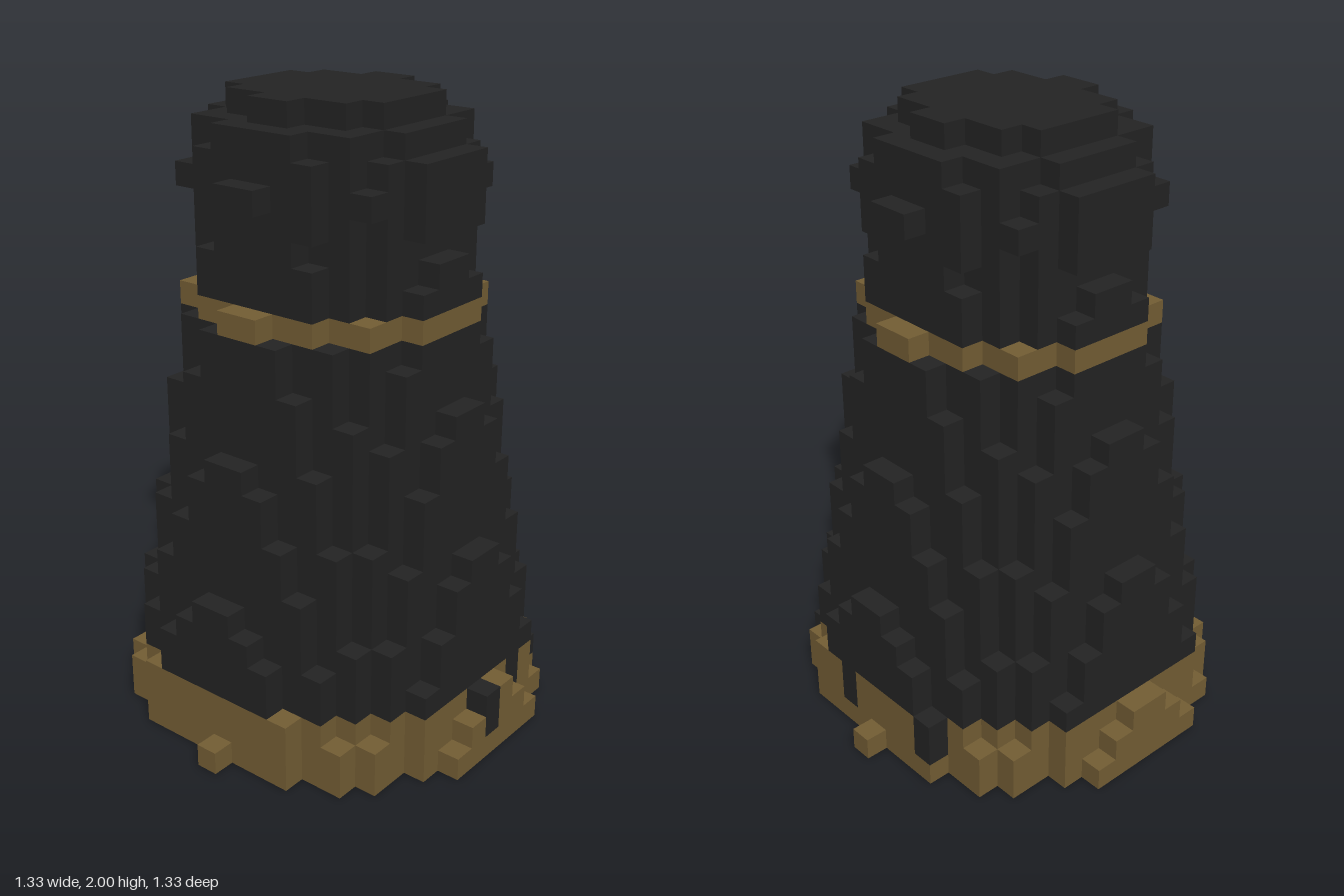
import * as THREE from 'three';

const LAYERS = 27, U = 2 / LAYERS, WALL = 2.2;
const BASE_TOP = 3, BAND = 18;

// Half depth of each layer in cells: a straight taper, then a bulging head
const HEAD = [5.06, 5.45, 5.56, 5.45, 4.8, 3.6];
const halfDepth = (y) => (y > 20 ? HEAD[y - 21] : 8.56 - y / 6);

// Cells missing from the ragged bottom rim, and dark patches in the base
const GAPS = new Set(['-8,0,-5', '7,0,4', '0,0,-9', '-1,0,8']);
const PATCHES = new Set([
  '8,1,0', '8,2,0', '7,1,-3', '7,2,-3', '6,1,-6',
  '1,1,-8', '1,2,-8', '-4,1,-8', '-4,2,-8',
]);

// True inside an oval slightly wider than deep
function inOval(x, z, rz) {
  if (rz <= 0) return false;
  const rx = rz + 1 / 3;
  return ((x + 0.5) / rx) ** 2 + ((z + 0.5) / rz) ** 2 <= 1;
}

// Hollow shell, open below and closed by the top layer
function filled(x, y, z) {
  if (y < 0 || y >= LAYERS) return false;
  const r = halfDepth(y);
  if (!inOval(x, z, r) || GAPS.has(`${x},${y},${z}`)) return false;
  return y === LAYERS - 1 || !inOval(x, z, r - WALL);
}

// The exposed sides of every cell accepted by the test
function cellGeometry(y0, y1, accept) {
  const pos = [], nor = [], idx = [];
  for (let y = y0; y < y1; y++)
    for (let x = -10; x < 10; x++)
      for (let z = -10; z < 10; z++) {
        if (!filled(x, y, z) || !accept(x, y, z)) continue;
        const c = [x + 0.5, y + 0.5, z + 0.5];
        for (let a = 0; a < 3; a++)
          for (const s of [-1, 1]) {
            const n = [0, 0, 0];
            n[a] = s;
            if (filled(x + n[0], y + n[1], z + n[2])) continue;
            const first = pos.length / 3;
            const b = (a + 1) % 3, d = (a + 2) % 3;
            for (const [p, q] of [[-1, -1], [1, -1], [1, 1], [-1, 1]]) {
              const v = [...c];
              v[a] += s / 2;
              v[b] += (p * s) / 2;
              v[d] += q / 2;
              pos.push(v[0] * U, v[1] * U, v[2] * U);
              nor.push(...n);
            }
            idx.push(first, first + 1, first + 2, first, first + 2, first + 3);
          }
      }
  const g = new THREE.BufferGeometry();
  g.setAttribute('position', new THREE.Float32BufferAttribute(pos, 3));
  g.setAttribute('normal', new THREE.Float32BufferAttribute(nor, 3));
  g.setIndex(idx);
  return g;
}

export function createModel() {
  const group = new THREE.Group();
  group.name = 'blockTower';
  const dark = new THREE.MeshStandardMaterial({ color: 0x232323 });
  dark.name = 'charcoal';
  const brown = new THREE.MeshStandardMaterial({ color: 0x735d34 });
  brown.name = 'bronze';

  const add = (name, material, y0, y1, accept = () => true) => {
    const mesh = new THREE.Mesh(cellGeometry(y0, y1, accept), material);
    mesh.name = name;
    group.add(mesh);
  };
  const isPatch = (x, y, z) => PATCHES.has(`${x},${y},${z}`);

  add('base', brown, 0, BASE_TOP, (x, y, z) => !isPatch(x, y, z));
  add('basePatches', dark, 0, BASE_TOP, isPatch);
  add('body', dark, BASE_TOP, BAND);
  add('neckBand', brown, BAND, BAND + 1);
  add('head', dark, BAND + 1, LAYERS);
  return group;
}
